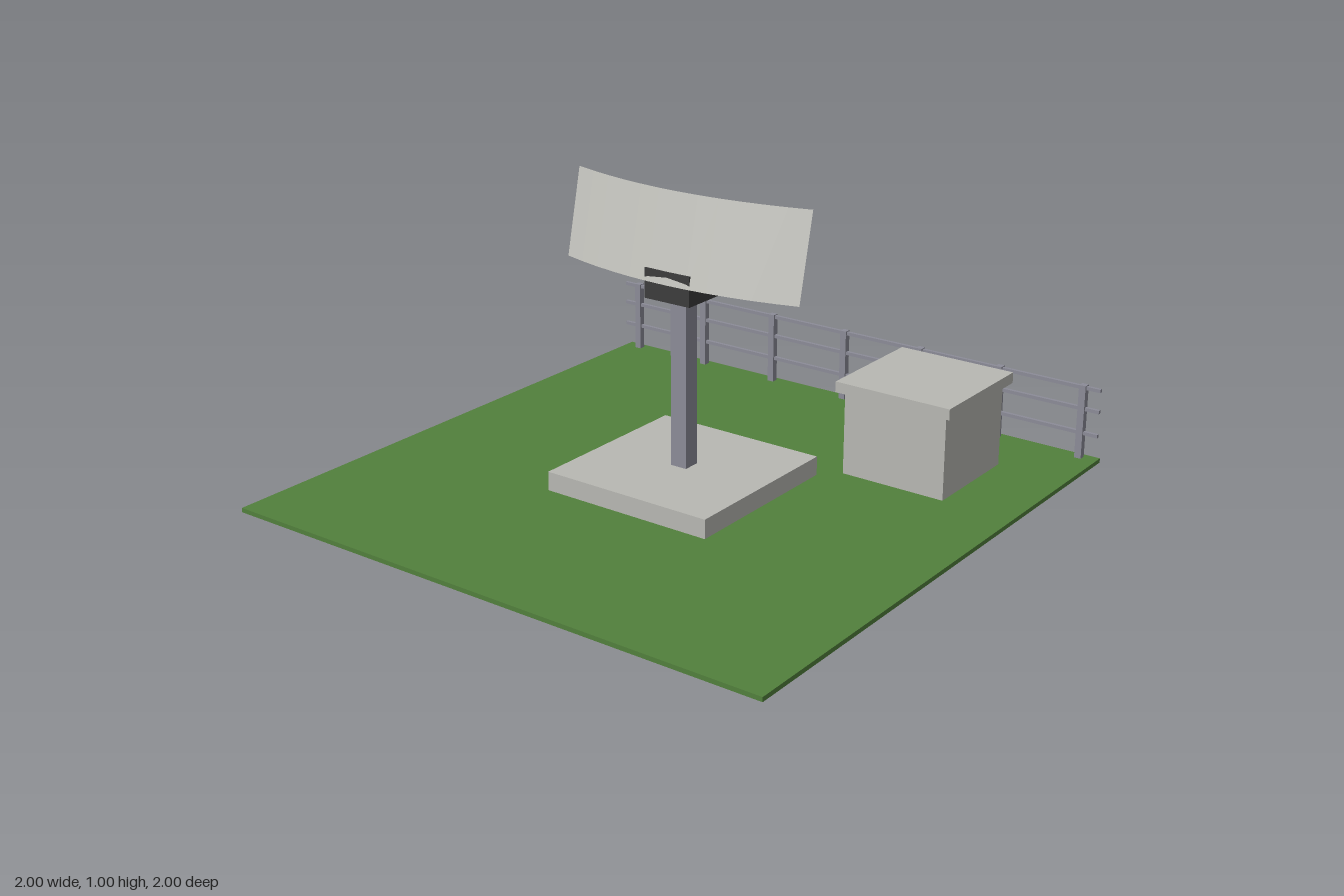
import * as THREE from 'three';

export function createModel() {
  const model = new THREE.Group();
  model.name = 'radarStation';

  const material = (name, color, extra = {}) => {
    const m = new THREE.MeshStandardMaterial({ color, ...extra });
    m.name = name;
    return m;
  };
  const grass = material('grass', 0x52803c);
  const concrete = material('concrete', 0xb8b8b3);
  const steel = material('steel', 0x8c8c98);
  const darkMetal = material('darkMetal', 0x3c3c3c);
  const panel = material('panel', 0xc2c2bc, { side: THREE.DoubleSide, flatShading: true });

  // Box given by its centre in x and z, and its bottom and top heights
  const box = (name, mat, w, d, y0, y1, x = 0, z = 0, parent = model) => {
    const mesh = new THREE.Mesh(new THREE.BoxGeometry(w, y1 - y0, d), mat);
    mesh.name = name;
    mesh.position.set(x, (y0 + y1) / 2, z);
    parent.add(mesh);
    return mesh;
  };

  // Ground and foundation
  box('ground', grass, 2, 2, 0, 0.015);
  box('foundation', concrete, 0.625, 0.625, 0.004, 0.08);

  // Mast and turning head
  box('mast', steel, 0.06, 0.06, 0.08, 0.66);
  box('turningHead', darkMetal, 0.175, 0.18, 0.655, 0.755);

  // Strut leaning forward from the head to the antenna
  const from = new THREE.Vector3(0, 0.73, 0);
  const to = new THREE.Vector3(0, 0.82, 0.055);
  const strut = new THREE.Mesh(new THREE.BoxGeometry(0.024, from.distanceTo(to), 0.024), steel);
  strut.name = 'antennaStrut';
  strut.position.copy(from).lerp(to, 0.5);
  strut.rotation.x = Math.atan2(to.z - from.z, to.y - from.y);
  model.add(strut);

  // Antenna: a curved sheet, bowed forward and leaning back
  const sheet = new THREE.PlaneGeometry(0.904, 0.288, 12, 1);
  const p = sheet.attributes.position;
  for (let i = 0; i < p.count; i++) {
    const x = p.getX(i), y = p.getY(i);
    p.setZ(i, 0.063 - 0.07 * (x / 0.452) ** 2 - 0.225 * y);
  }
  sheet.computeVertexNormals();
  const antenna = new THREE.Mesh(sheet, panel);
  antenna.name = 'antenna';
  antenna.position.y = 0.857;
  model.add(antenna);

  // Equipment hut with an overhanging roof
  box('hutWalls', concrete, 0.375, 0.375, 0.004, 0.305, 0.5625, -0.5625);
  box('hutRoof', concrete, 0.422, 0.422, 0.303, 0.34, 0.5625, -0.5625);

  // Fence along the back edge
  const fence = new THREE.Group();
  fence.name = 'fence';
  model.add(fence);
  for (let i = -3; i <= 3; i++) {
    box('fencePost', steel, 0.024, 0.024, 0.004, 0.275, i * 0.3125, -0.969, fence);
  }
  for (const y of [0.105, 0.191, 0.266]) {
    box('fenceRail', steel, 2, 0.012, y - 0.006, y + 0.006, 0, -0.969, fence);
  }

  return model;
}
